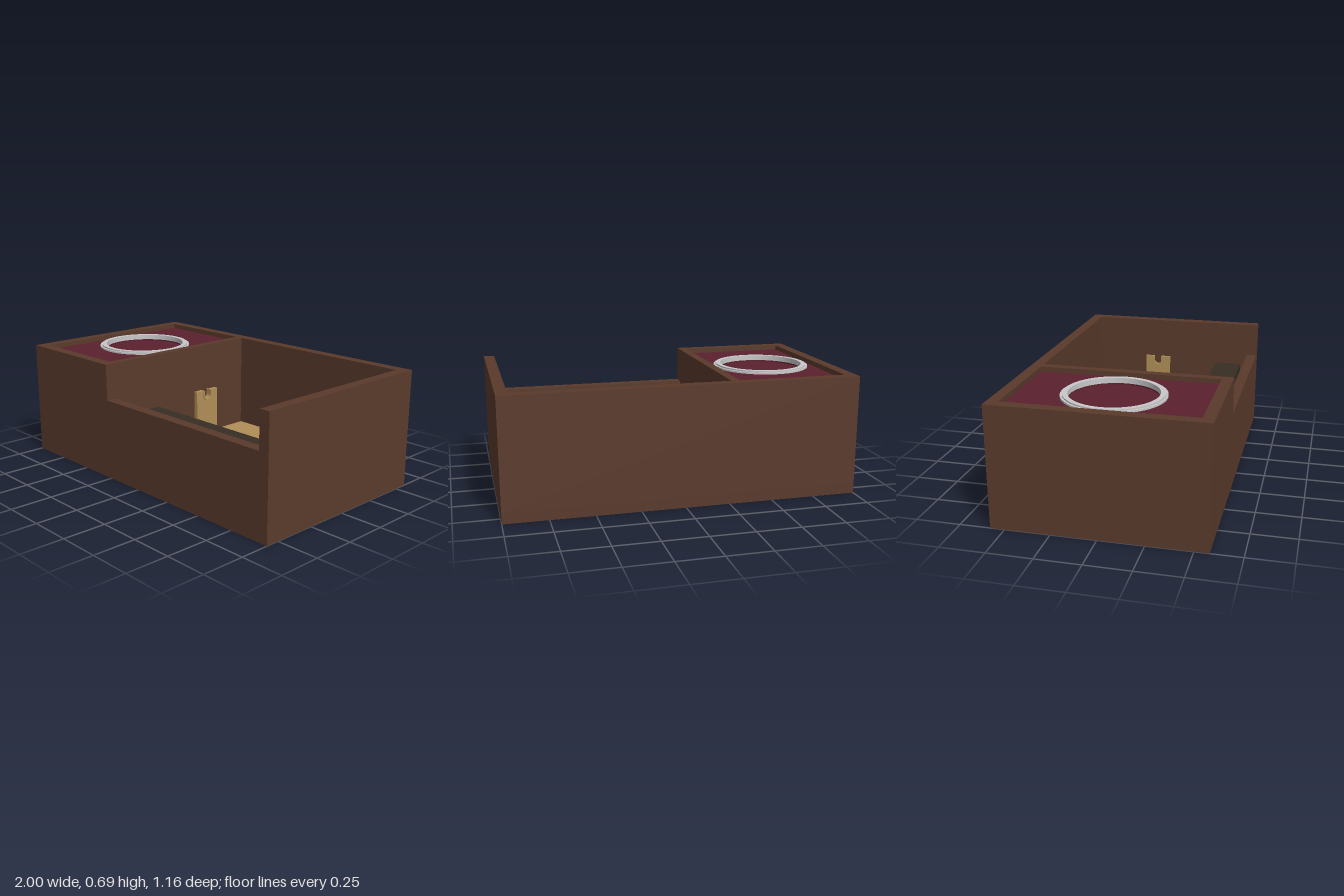
import * as THREE from 'three';

const mat = (name, color) => Object.assign(new THREE.MeshStandardMaterial({ color }), { name });

export function createModel() {
  const wood = mat('walnut wood', 0x5a3a2c);
  const felt = mat('burgundy felt', 0x5a202e);
  const brass = mat('brass', 0xb08f57);
  const dark = mat('dark block', 0x372e24);
  const silver = mat('silver', 0xc8c8ca);

  const root = new THREE.Group();
  root.name = 'woodenCase';

  function add(name, geometry, material, parent = root) {
    const m = new THREE.Mesh(geometry, material);
    m.name = name;
    parent.add(m);
    return m;
  }
  // Box given by its minimum and maximum corners
  function box(name, [x0, y0, z0], [x1, y1, z1], material) {
    const g = new THREE.BoxGeometry(x1 - x0, y1 - y0, z1 - z0);
    g.translate((x0 + x1) / 2, (y0 + y1) / 2, (z0 + z1) / 2);
    return add(name, g, material);
  }

  const H = 0.685, D = 0.58, T = 0.063, X = 1 - T, Z = D - T;

  // Case: base, back, sides and divider
  box('base', [-1, 0, -D], [1, T, D], wood);
  box('backWall', [-1, T, -D], [1, H, -Z], wood);
  for (const s of [-1, 1]) {
    box(s < 0 ? 'rightWall' : 'leftWall',
      [s < 0 ? -1 : X, T, -Z], [s < 0 ? -X : 1, H, Z], wood);
  }
  box('divider', [-0.315, T, -Z], [-0.265, H, Z], wood);

  // Front wall with its lowered opening
  const front = new THREE.Shape([
    [-1, T], [1, T], [1, H], [X, H], [X, 0.475], [-0.265, 0.475], [-0.265, H], [-1, H],
  ].map(([x, y]) => new THREE.Vector2(x, y)));
  const frontGeo = new THREE.ExtrudeGeometry(front, { depth: T, bevelEnabled: false });
  frontGeo.translate(0, 0, Z);
  add('frontWall', frontGeo, wood);

  // Felt panel with a round recess
  const cx = -0.63, R = 0.246, panelTop = 0.657;
  const panel = new THREE.Shape([
    [-X, -Z], [-0.315, -Z], [-0.315, Z], [-X, Z],
  ].map(([x, y]) => new THREE.Vector2(x, y)));
  panel.holes.push(new THREE.Path().absarc(cx, 0, R, 0, Math.PI * 2, true));
  const panelGeo = new THREE.ExtrudeGeometry(panel, { depth: 0.03, bevelEnabled: false, curveSegments: 64 });
  panelGeo.rotateX(-Math.PI / 2);
  panelGeo.translate(0, panelTop - 0.03, 0);
  add('feltPanel', panelGeo, felt);
  const disc = add('recessFloor', new THREE.CylinderGeometry(R + 0.01, R + 0.01, 0.01, 64), felt);
  disc.position.set(cx, 0.632, 0);

  // Stepped metal ring around the recess, flat shaded steps
  const profile = [
    [0.244, 0.645], [0.284, 0.645], [0.284, 0.667], [0.272, 0.667],
    [0.272, 0.675], [0.244, 0.675], [0.244, 0.645],
  ];
  const ring = new THREE.Group();
  ring.name = 'metalRing';
  ring.position.x = cx;
  root.add(ring);
  for (let i = 0; i < profile.length - 1; i++) {
    const pts = [profile[i], profile[i + 1]].map(([r, y]) => new THREE.Vector2(r, y));
    add('ringFace', new THREE.LatheGeometry(pts, 72), silver, ring);
  }

  // Open compartment: felt floor, brass plate, long dark block
  box('feltFloor', [-0.265, T, -Z], [X, 0.085, Z], felt);
  box('brassPlate', [-0.25, 0.085, -0.505], [0.925, 0.12, 0.5], brass);
  box('longBlock', [-0.135, 0.12, 0.305], [0.925, 0.41, 0.475], dark);

  // Notched upright that holds a bushing, drawn in the z-y plane
  function bearing(name, x) {
    const g = new THREE.Group();
    g.name = name;
    g.position.set(x, 0, -0.105);
    root.add(g);
    const side = (shape, depth) => {
      const e = new THREE.ExtrudeGeometry(shape, { depth, bevelEnabled: false, curveSegments: 16 });
      e.translate(0, 0, -depth / 2);
      return e.rotateY(Math.PI / 2);
    };
    const top = 0.43, mid = 0.40, w = 0.085, r = 0.034, inner = 0.024;
    const plate = new THREE.Shape();
    plate.moveTo(-w, 0.12);
    plate.lineTo(w, 0.12);
    plate.lineTo(w, top);
    plate.lineTo(r, top);
    plate.lineTo(r, mid);
    plate.absarc(0, mid, r, 0, Math.PI, true);
    plate.lineTo(-r, top);
    plate.lineTo(-w, top);
    add('upright', side(plate, 0.026), brass, g);

    const cup = new THREE.Shape();
    cup.moveTo(r, top);
    cup.lineTo(r, mid);
    cup.absarc(0, mid, r, 0, Math.PI, true);
    cup.lineTo(-r, top);
    cup.lineTo(-inner, top);
    cup.lineTo(-inner, mid);
    cup.absarc(0, mid, inner, Math.PI, Math.PI * 2, false);
    cup.lineTo(inner, top);
    add('bushing', side(cup, 0.04), brass, g);
  }
  bearing('innerBearing', -0.167);
  bearing('outerBearing', 0.936);

  return root;
}
